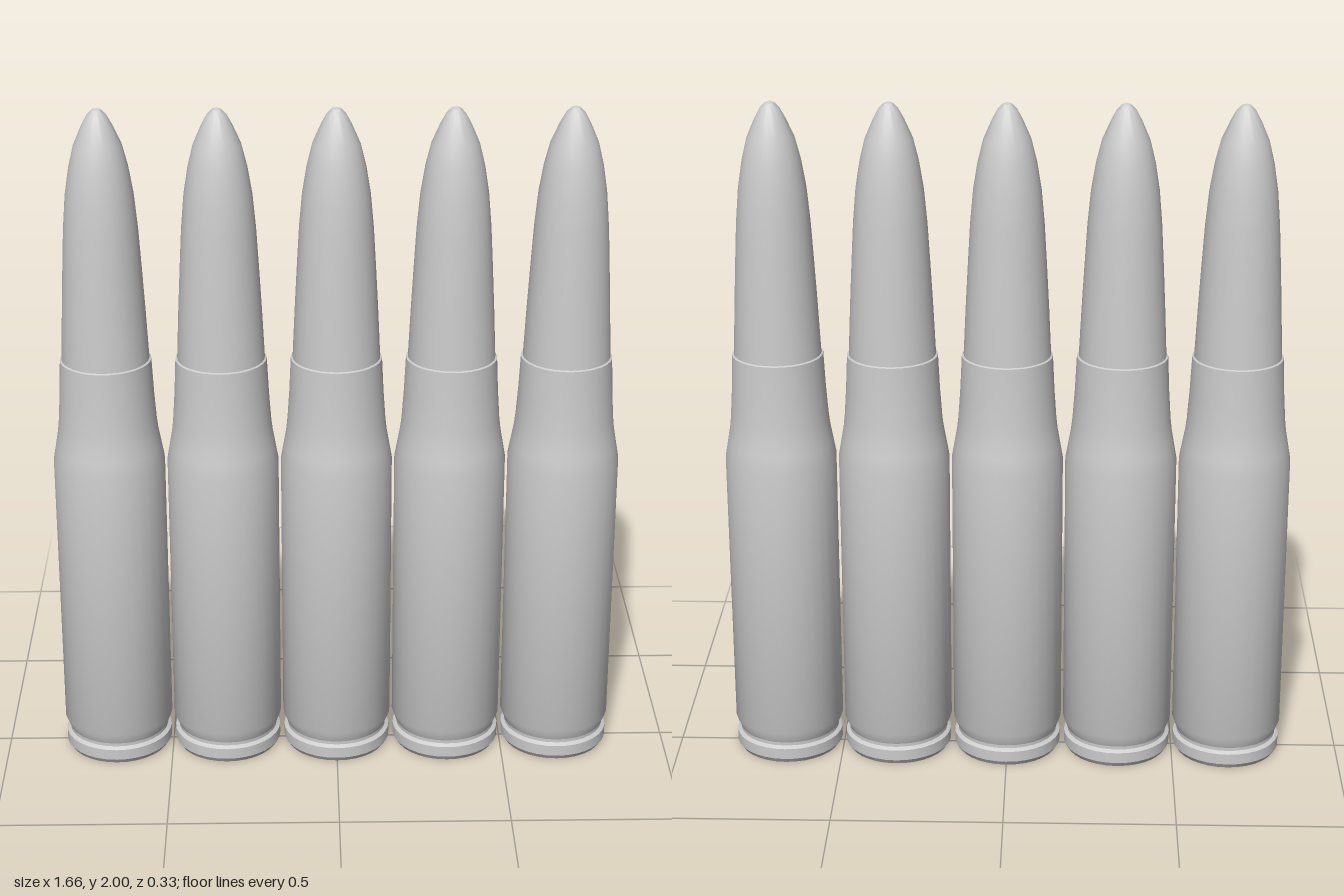
import * as THREE from 'three';
import { toCreasedNormals } from 'three/addons/utils/BufferGeometryUtils.js';

const COUNT = 5, SPACING = 0.333, SIDES = 32;
const material = new THREE.MeshStandardMaterial({ color: 0xcccccc });

// Revolve a [radius, height] profile, listed from bottom to top
function turned(name, profile) {
  const points = profile.map(([r, y]) => new THREE.Vector2(r, y));
  const geometry = toCreasedNormals(new THREE.LatheGeometry(points, SIDES), 0.45);
  const mesh = new THREE.Mesh(geometry, material);
  mesh.name = name;
  return mesh;
}

function createCartridge() {
  const cartridge = new THREE.Group();
  cartridge.name = 'cartridge';

  // Flat base, extractor rim and groove
  cartridge.add(turned('rim', [
    [0, 0], [0.15, 0], [0.16, 0.015], [0.16, 0.048], [0.149, 0.055], [0.149, 0.065],
  ]));

  // Straight case, sloping shoulder and neck with a thin lip
  cartridge.add(turned('case', [
    [0.149, 0.065], [0.163, 0.1], [0.163, 0.94], [0.155, 0.985], [0.147, 1.03], [0.143, 1.065],
    [0.137, 1.15], [0.132, 1.255], [0.126, 1.258],
  ]));

  // Tapered bullet with a rounded point
  cartridge.add(turned('bullet', [
    [0.127, 1.25], [0.12, 1.4], [0.113, 1.53], [0.106, 1.65], [0.097, 1.75], [0.084, 1.83],
    [0.068, 1.895], [0.044, 1.95], [0.028, 1.98], [0.014, 1.995], [0, 2],
  ]));
  return cartridge;
}

export function createModel() {
  const model = new THREE.Group();
  model.name = 'cartridgeRow';
  for (let i = 0; i < COUNT; i++) {
    const cartridge = createCartridge();
    cartridge.position.x = (i - (COUNT - 1) / 2) * SPACING;
    model.add(cartridge);
  }
  return model;
}
